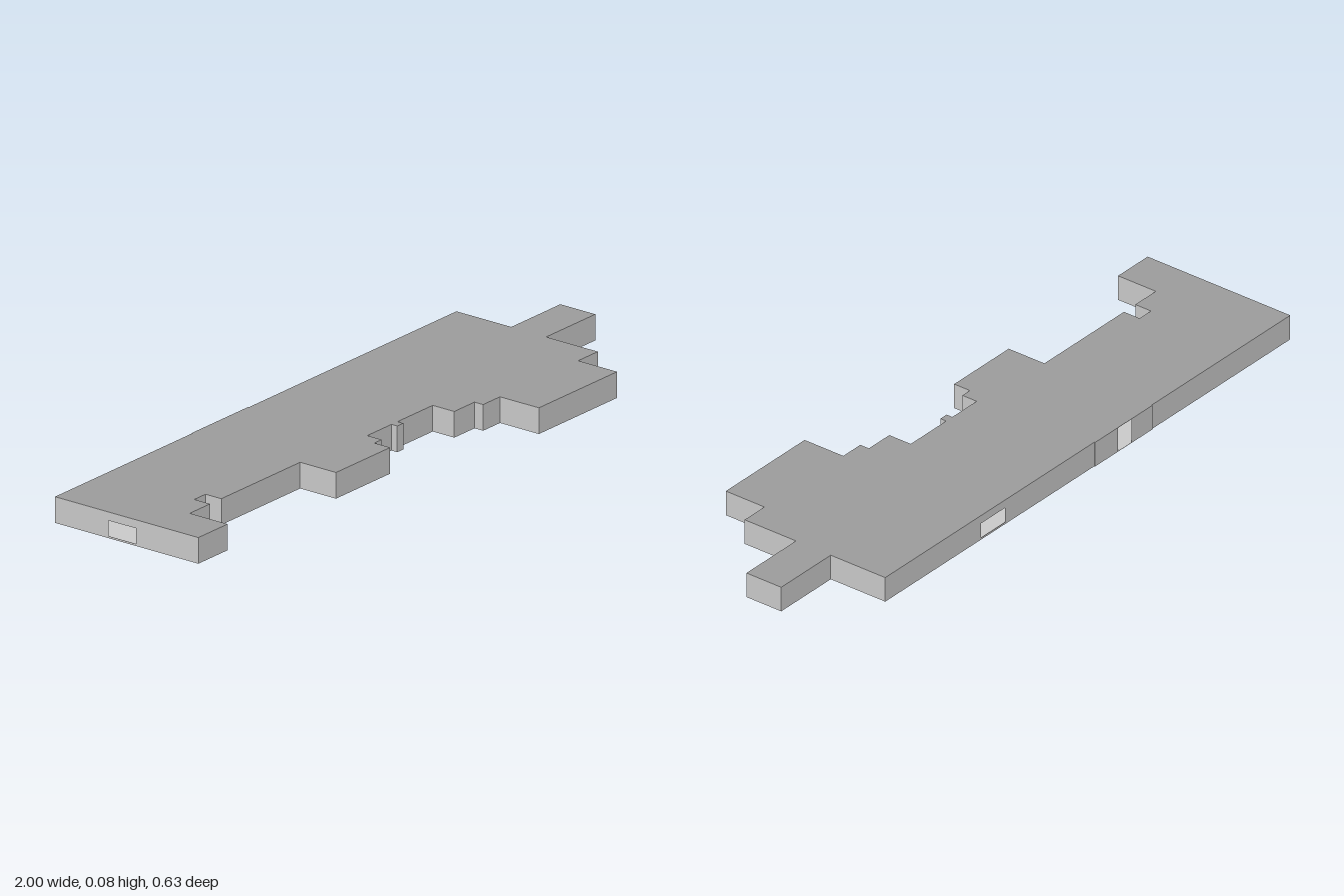
import * as THREE from 'three';

const H = 0.077;

// Plan outline as [x, z], running along the front from the model's right to its left
const OUTLINE = [
  [-1, -0.313], [-1, 0.187], [-0.87, 0.187], [-0.87, 0.055], [-0.78, 0.055], [-0.78, 0],
  [-0.73, 0], [-0.73, 0.055], [-0.38, 0.055], [-0.38, 0.18], [-0.14, 0.18], [-0.14, 0.125],
  [-0.107, 0.125], [-0.107, 0.075], [0, 0.075], [0, 0.095], [0.027, 0.095], [0.027, 0.075],
  [0.183, 0.075], [0.183, 0.15], [0.273, 0.15], [0.273, 0.18], [0.348, 0.18], [0.348, 0.3155],
  [0.695, 0.3155], [0.695, 0.18], [0.782, 0.18], [0.782, 0], [1, 0], [1, -0.122],
  [0.782, -0.122], [0.782, -0.313], [-0.138, -0.313], [-0.138, -0.3155], [-0.39, -0.3155], [-0.39, -0.313],
];

// Openings by wall index: [start, end, bottom, top] along the wall
const OPENINGS = {
  0: [0.187, 0.283, 0.006, 0.052],
  31: [0.422, 0.527, 0.006, 0.052],
  33: [0.1, 0.16, 0.001, 0.076],
};

function rectangle(Type, u0, u1, v0, v1) {
  return new Type([[u0, v0], [u1, v0], [u1, v1], [u0, v1]].map(([u, v]) => new THREE.Vector2(u, v)));
}

export function createModel() {
  const group = new THREE.Group();
  group.name = 'floorPlanBlock';
  const wallMat = new THREE.MeshStandardMaterial({ name: 'light grey', color: 0xcccccc, side: THREE.DoubleSide });
  const roofMat = new THREE.MeshStandardMaterial({ name: 'mid grey', color: 0x9d9d9d, side: THREE.DoubleSide });

  const add = (name, geometry, material, x = 0, y = 0, z = 0) => {
    const mesh = new THREE.Mesh(geometry, material);
    mesh.name = name;
    mesh.position.set(x, y, z);
    group.add(mesh);
    return mesh;
  };

  // Floor and ceiling sheets share the plan
  const plan = new THREE.Shape(OUTLINE.map(([x, z]) => new THREE.Vector2(x, z)));
  add('floor', new THREE.ShapeGeometry(plan).rotateX(Math.PI / 2), wallMat);
  add('ceiling', new THREE.ShapeGeometry(plan).rotateX(Math.PI / 2), roofMat, 0, H, 0);

  // Outer walls, one per outline edge, with any opening cut out
  OUTLINE.forEach(([x, z], i) => {
    const [x2, z2] = OUTLINE[(i + 1) % OUTLINE.length];
    const shape = rectangle(THREE.Shape, 0, Math.hypot(x2 - x, z2 - z), 0, H);
    if (OPENINGS[i]) shape.holes.push(rectangle(THREE.Path, ...OPENINGS[i]));
    const wall = add('outerWall', new THREE.ShapeGeometry(shape), wallMat, x, 0, z);
    wall.rotation.y = -Math.atan2(z2 - z, x2 - x);
  });

  // Partition behind the back window
  add('partition', new THREE.BoxGeometry(0.4, H - 0.004, 0.006), wallMat, 0.28, H / 2, -0.22);

  return group;
}
